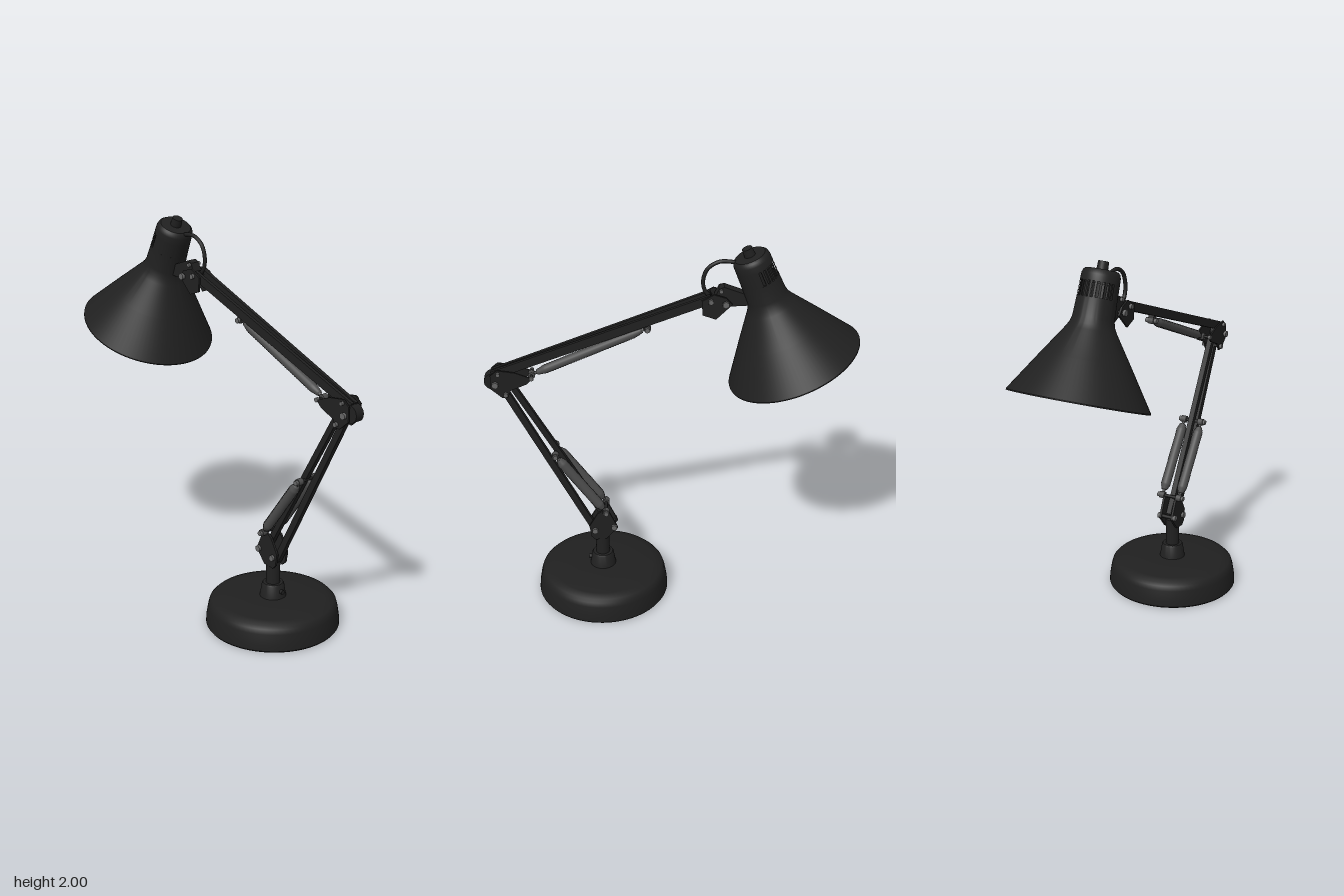
import * as THREE from 'three';
import { toCreasedNormals } from 'three/addons/utils/BufferGeometryUtils.js';

const black = new THREE.MeshStandardMaterial({ color: 0x202020, side: THREE.DoubleSide });
black.name = 'matt black';
const springGrey = new THREE.MeshStandardMaterial({ color: 0x4c4c4c });
springGrey.name = 'spring grey';
const boltGrey = new THREE.MeshStandardMaterial({ color: 0x666666 });
boltGrey.name = 'bolt grey';

const V = (x, y, z = 0) => new THREE.Vector3(x, y, z);

function add(parent, name, geometry, material = black) {
  const mesh = new THREE.Mesh(geometry, material);
  mesh.name = name;
  parent.add(mesh);
  return mesh;
}

// Turned part with crisp edges; profile is a list of [radius, height]
function turned(profile, segments = 64, start = 0, sweep = Math.PI * 2) {
  const points = profile.map(([r, y]) => new THREE.Vector2(r, y));
  return toCreasedNormals(new THREE.LatheGeometry(points, segments, start, sweep), 0.6);
}

// Place a part whose y axis runs along a -> b, starting at a
function align(mesh, a, b) {
  mesh.position.copy(a);
  mesh.quaternion.setFromUnitVectors(V(0, 1), b.clone().sub(a).normalize());
  return mesh;
}

function bar(parent, name, a, b, width, depth) {
  const length = a.distanceTo(b);
  const geometry = new THREE.BoxGeometry(width, length, depth).translate(0, length / 2, 0);
  return align(add(parent, name, geometry), a, b);
}

// Flat outline in the xy plane, extruded around z
function plate(parent, name, outline, z, depth) {
  const shape = new THREE.Shape(outline.map(([x, y]) => new THREE.Vector2(x, y)));
  const geometry = new THREE.ExtrudeGeometry(shape, { depth, bevelEnabled: false });
  add(parent, name, geometry.translate(0, 0, z - depth / 2));
}

// Cross bolt with a hexagonal head on both ends
function bolt(parent, x, y, halfLength, r = 0.017) {
  const shaft = add(parent, 'boltShaft', new THREE.CylinderGeometry(r * 0.6, r * 0.6, halfLength * 2, 12), black);
  shaft.position.set(x, y, 0);
  shaft.rotation.x = Math.PI / 2;
  for (const s of [-1, 1]) {
    const head = add(parent, 'boltHead', new THREE.CylinderGeometry(r, r, 0.014, 6), boltGrey);
    head.position.set(x, y, s * halfLength);
    head.rotation.x = Math.PI / 2;
  }
}

// Tension spring: closely wound body with tapered ends and round eyelets
function spring(parent, a, b, r) {
  const length = a.distanceTo(b), coils = 40;
  const profile = [[0.001, 0], [0.008, 0], [0.008, 0.03]];
  for (let i = 0; i <= coils * 2; i++) {
    const t = i / (coils * 2);
    const taper = Math.min(1, 0.6 + Math.min(t, 1 - t) * 5);
    profile.push([r * taper * (i % 2 ? 1 : 0.92), 0.03 + t * (length - 0.06)]);
  }
  profile.push([0.008, length - 0.03], [0.008, length], [0.001, length]);
  const points = profile.map(([x, y]) => new THREE.Vector2(x, y));
  align(add(parent, 'spring', new THREE.LatheGeometry(points, 20), springGrey), a, b);
  for (const p of [a, b]) {
    const eye = add(parent, 'springEyelet', new THREE.CylinderGeometry(0.018, 0.018, 0.03, 16), springGrey);
    eye.position.copy(p);
    eye.rotation.x = Math.PI / 2;
  }
}

function makeBase() {
  const g = new THREE.Group();
  g.name = 'base';
  add(g, 'foot', turned([[0, 0], [0.338, 0], [0.344, 0.008], [0.342, 0.04], [0.333, 0.095], [0.326, 0.12],
    [0.312, 0.134], [0.27, 0.144], [0.15, 0.152], [0, 0.153]], 80));
  add(g, 'collar', turned([[0.07, 0.145], [0.066, 0.16], [0.057, 0.218], [0.052, 0.226], [0, 0.226]], 40));
  add(g, 'post', new THREE.CylinderGeometry(0.036, 0.036, 0.18, 32)).position.y = 0.28;
  const screw = add(g, 'setScrew', new THREE.CylinderGeometry(0.012, 0.012, 0.03, 12));
  screw.position.set(0.06, 0.19, 0);
  screw.rotation.z = Math.PI / 2;
  g.position.x = 0.363;
  return g;
}

function makeLowerArm() {
  const g = new THREE.Group();
  g.name = 'lowerArm';
  const outline = [[0.28, 0.4], [0.325, 0.5], [0.345, 0.515], [0.385, 0.49], [0.43, 0.41], [0.42, 0.345], [0.4, 0.325], [0.34, 0.33]];
  for (const s of [-1, 1]) {
    plate(g, 'footPlate', outline, s * 0.034, 0.012);
    spring(g, V(0.34, 0.51, s * 0.05), V(0.592, 0.865, s * 0.05), 0.027);
  }
  bar(g, 'rearBar', V(0.395, 0.36), V(0.865, 1.29), 0.034, 0.028);
  bar(g, 'frontBar', V(0.325, 0.41), V(0.815, 1.29), 0.03, 0.028);
  bolt(g, 0.3, 0.405, 0.046);
  bolt(g, 0.4, 0.385, 0.046);
  bolt(g, 0.34, 0.51, 0.07, 0.014);
  bolt(g, 0.592, 0.865, 0.07, 0.014);
  return g;
}

function makeElbow() {
  const g = new THREE.Group();
  g.name = 'elbow';
  const outline = [[0.69, 1.315], [0.775, 1.35], [0.865, 1.365], [0.9, 1.335], [0.9, 1.26], [0.845, 1.21], [0.815, 1.21], [0.8, 1.25], [0.72, 1.285]];
  for (const s of [-1, 1]) plate(g, 'elbowPlate', outline, s * 0.04, 0.008);
  const knuckle = add(g, 'knuckle', new THREE.CylinderGeometry(0.045, 0.045, 0.05, 32));
  knuckle.position.set(0.888, 1.293, 0);
  knuckle.rotation.x = Math.PI / 2;
  bolt(g, 0.876, 1.288, 0.055, 0.018);
  bolt(g, 0.825, 1.23, 0.052, 0.013);
  bolt(g, 0.86, 1.345, 0.05, 0.011);
  bolt(g, 0.695, 1.318, 0.046, 0.012);
  return g;
}

function makeUpperArm() {
  const g = new THREE.Group();
  g.name = 'upperArm';
  for (const s of [-1, 1]) bar(g, 'upperBar', V(-0.2, 1.74, s * 0.027), V(0.89, 1.325, s * 0.013), 0.045, 0.018);
  spring(g, V(0.115, 1.57), V(0.695, 1.318), 0.024);
  bar(g, 'springHanger', V(0.115, 1.57), V(0.13, 1.61), 0.03, 0.03);
  bolt(g, 0.115, 1.57, 0.024, 0.014);
  return g;
}

function makeHeadJoint() {
  const g = new THREE.Group();
  g.name = 'headJoint';
  plate(g, 'shadeLug', [[-0.4, 1.7], [-0.4, 1.755], [-0.35, 1.765], [-0.26, 1.8], [-0.235, 1.79], [-0.215, 1.75], [-0.24, 1.7], [-0.28, 1.695]], 0, 0.05);
  for (const s of [-1, 1]) {
    plate(g, 'jointPlate', [[-0.3, 1.715], [-0.27, 1.75], [-0.21, 1.77], [-0.15, 1.735], [-0.155, 1.66], [-0.22, 1.635]], s * 0.041, 0.01);
  }
  bolt(g, -0.267, 1.722, 0.06, 0.018);
  bolt(g, -0.195, 1.735, 0.054, 0.014);
  bolt(g, -0.245, 1.78, 0.03, 0.011);
  const path = new THREE.CatmullRomCurve3([V(-0.33, 1.915), V(-0.29, 1.925), V(-0.235, 1.925), V(-0.18, 1.89), V(-0.158, 1.83), V(-0.166, 1.775), V(-0.21, 1.72)]);
  add(g, 'cable', new THREE.TubeGeometry(path, 48, 0.01, 10));
  return g;
}

function makeShade() {
  const g = new THREE.Group();
  g.name = 'shade';
  // Flared cone and lower neck, with an inner wall
  add(g, 'cone', turned([[0.086, 0.495], [0.09, 0.4], [0.098, 0.36], [0.21, 0.195], [0.336, 0.002], [0.346, 0], [0.347, 0.006],
    [0.22, 0.2], [0.125, 0.342], [0.109, 0.37], [0.101, 0.4], [0.097, 0.495], [0.086, 0.495]], 80));
  // Vented band: a solid wall on the arm side, narrow ribs on the far side
  const wall = [[0.086, 0.495], [0.097, 0.495], [0.095, 0.57], [0.085, 0.57], [0.086, 0.495]];
  add(g, 'solidWall', turned(wall, 32, -0.05 * Math.PI, 1.1 * Math.PI));
  const slots = 11, pitch = 0.9 * Math.PI / slots;
  for (let i = 0; i < slots; i++) {
    add(g, 'ventRib', turned(wall, 2, 1.05 * Math.PI + (i + 0.5) * pitch, pitch * 0.5));
  }
  add(g, 'cap', turned([[0.085, 0.57], [0.095, 0.57], [0.094, 0.605], [0.088, 0.623], [0.078, 0.631], [0, 0.633]], 48));
  add(g, 'knob', new THREE.CylinderGeometry(0.026, 0.028, 0.045, 24)).position.y = 0.65;
  g.position.set(-0.617, 1.371, 0);
  g.rotation.z = -0.383;
  return g;
}

export function createModel() {
  const model = new THREE.Group();
  model.name = 'deskLamp';
  model.add(makeBase(), makeLowerArm(), makeElbow(), makeUpperArm(), makeHeadJoint(), makeShade());
  return model;
}
